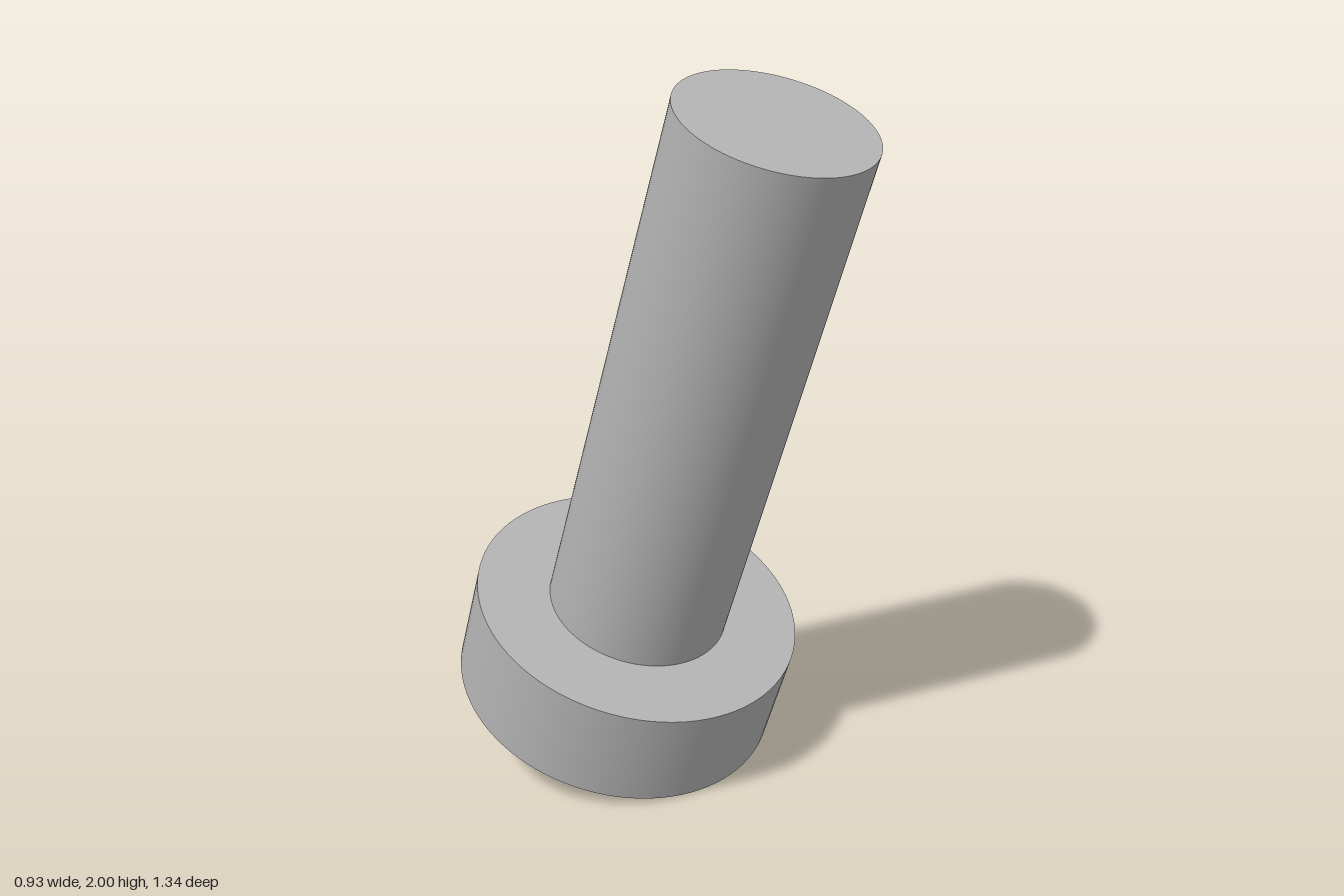
import * as THREE from 'three';

export function createModel() {
  const model = new THREE.Group();
  model.name = 'bolt';
  const steel = new THREE.MeshStandardMaterial({ color: 0xb4b4b4 });
  steel.name = 'grey steel';

  // Bolt built upright from its head's underside, then leaned toward the front
  const bolt = new THREE.Group();
  bolt.name = 'tiltedBolt';
  bolt.rotation.x = THREE.MathUtils.degToRad(21);
  bolt.position.set(0, 0.167, -0.235);
  model.add(bolt);

  // Solid of revolution: each profile corner is its own flat or round face
  const radius = { head: 0.466, shank: 0.258 };
  const headHeight = 0.309;
  const length = 1.863;

  function addCylinder(name, r, bottom, top, openBottom) {
    const group = new THREE.Group();
    group.name = name;
    const wall = new THREE.Mesh(new THREE.CylinderGeometry(r, r, top - bottom, 96, 1, true), steel);
    wall.name = name + 'Wall';
    wall.position.y = (top + bottom) / 2;
    group.add(wall);
    if (!openBottom) addCap(group, name + 'Bottom', 0, r, bottom, 1);
    bolt.add(group);
    return group;
  }

  // Flat disc or ring facing along the axis (side -1 is up, 1 is down)
  function addCap(group, name, inner, outer, y, side) {
    const geometry = inner > 0
      ? new THREE.RingGeometry(inner, outer, 96)
      : new THREE.CircleGeometry(outer, 96);
    const cap = new THREE.Mesh(geometry, steel);
    cap.name = name;
    cap.rotation.x = side * Math.PI / 2;
    cap.position.y = y;
    group.add(cap);
  }

  // Wide round head with a flat shoulder around the shank
  const head = addCylinder('head', radius.head, 0, headHeight, false);
  addCap(head, 'headShoulder', radius.shank, radius.head, headHeight, -1);

  // Plain round shank
  const shank = addCylinder('shank', radius.shank, headHeight, length, true);
  addCap(shank, 'shankEnd', 0, radius.shank, length, -1);

  return model;
}
